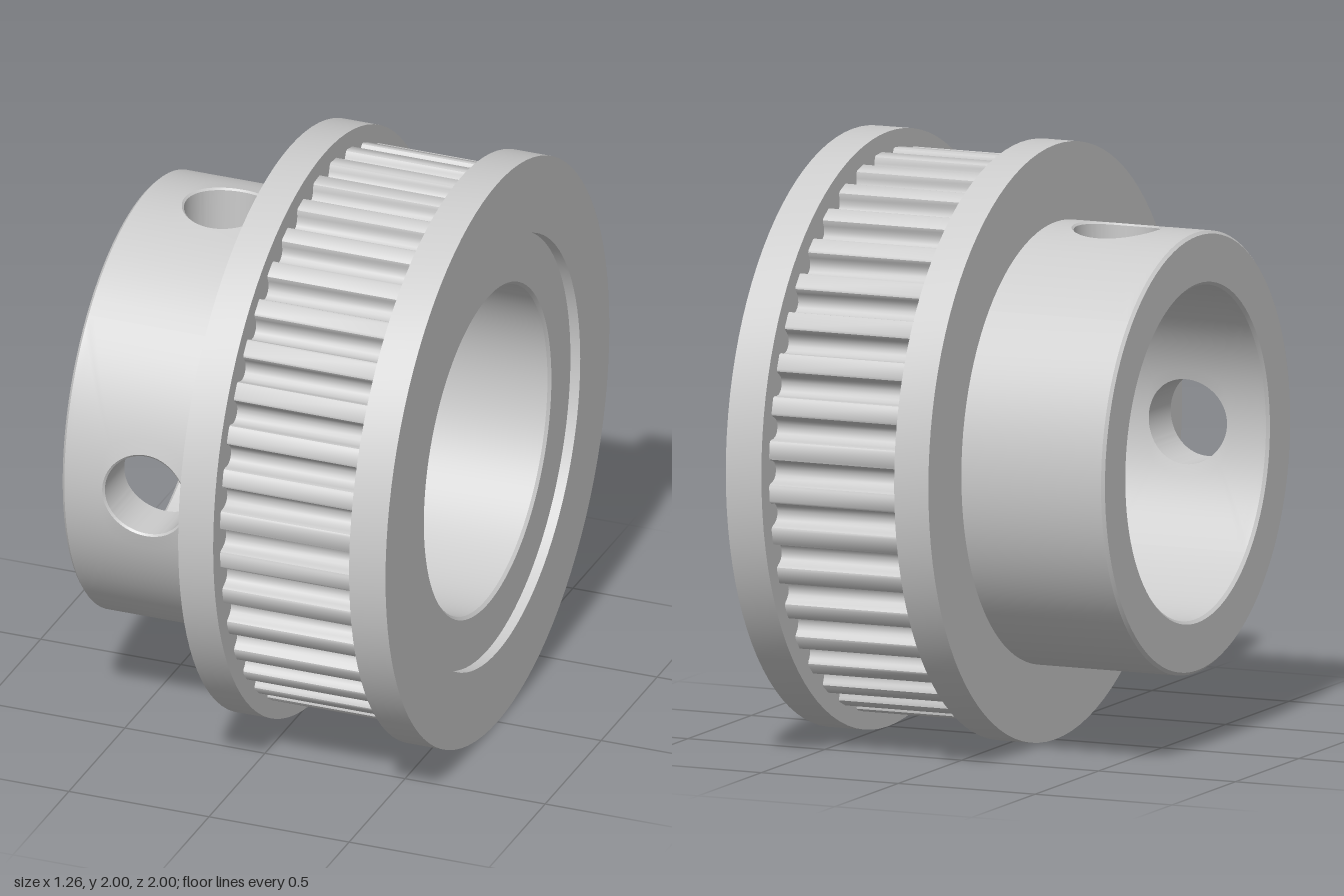
import * as THREE from 'three';
import { toCreasedNormals } from 'three/addons/utils/BufferGeometryUtils.js';

const material = new THREE.MeshStandardMaterial({ color: 0xcccccc });
const SEGMENTS = 96;
const BORE = 0.56, HUB = 0.74, FLANGE = 1;
const HUB_START = -0.62, HUB_END = -0.11; // cylindrical part of the hub along the axle

function part(name, geometry, crease = 0.5) {
  const mesh = new THREE.Mesh(toCreasedNormals(geometry, crease), material);
  mesh.name = name;
  return mesh;
}

// Turned surface from [radius, axial] points
function turned(name, points, start = 0, sweep = Math.PI * 2) {
  const profile = points.map(([r, y]) => new THREE.Vector2(r, y));
  const segments = Math.round(SEGMENTS * sweep / (Math.PI * 2));
  return part(name, new THREE.LatheGeometry(profile, segments, start, sweep));
}

// Flange ring with a square section
function flange(name, y0, y1) {
  return turned(name, [[HUB, y0], [FLANGE, y0], [FLANGE, y1], [HUB, y1], [HUB, y0]]);
}

// Quarter of the hub wall with a chamfered radial screw hole:
// rings run from the outer border, through the hole, to the inner border
function drilledQuarter(name, centreAngle) {
  const side = SEGMENTS / 4, holeY = -0.335, steps = 8;
  const border = [];
  for (let k = 0; k < 4; k++) {
    for (let i = 0; i < side; i++) {
      const s = -1 + 2 * i / side;
      border.push([[1, s], [-s, 1], [-1, -s], [s, -1]][k]);
    }
  }
  const rings = []; // [wall radius, hole radius, blend towards the border]
  for (let j = steps; j >= 0; j--) rings.push([HUB, 0.15, j / steps]);
  for (let j = 0; j <= steps; j++) rings.push([j ? BORE : HUB - 0.007, 0.143, 0]);
  rings.length = steps + 2;
  for (let j = 0; j <= steps; j++) rings.push([BORE, 0.143, j / steps]);

  const positions = [], index = [], n = border.length;
  for (const [radius, hole, t] of rings) {
    for (const [p, q] of border) {
      const a = Math.atan2(q, p);
      const holeAngle = Math.asin(hole * Math.cos(a) / radius);
      const angle = centreAngle + THREE.MathUtils.lerp(holeAngle, p * Math.PI / 4, t);
      const edgeY = THREE.MathUtils.lerp(HUB_START, HUB_END, (q + 1) / 2);
      const y = THREE.MathUtils.lerp(holeY + hole * Math.sin(a), edgeY, t);
      positions.push(radius * Math.sin(angle), y, radius * Math.cos(angle));
    }
  }
  for (let j = 0; j < rings.length - 1; j++) {
    for (let i = 0; i < n; i++) {
      const a = j * n + i, b = j * n + (i + 1) % n;
      index.push(a, b, b + n, a, b + n, a + n);
    }
  }
  const geometry = new THREE.BufferGeometry();
  geometry.setAttribute('position', new THREE.Float32BufferAttribute(positions, 3));
  geometry.setIndex(index);
  return part(name, geometry);
}

// Belt teeth: forty round-bottomed grooves around the rim
function toothedRim(y0, y1) {
  const teeth = 40, rim = 0.94;
  const half = [[0.05, 0], [0.043, 0.004], [0.039, 0.013], [0.037, 0.025], [0.03, 0.041], [0.017, 0.052]];
  const groove = [
    ...half.map(([t, d]) => [-t, d]),
    [0, 0.055],
    ...half.slice().reverse(),
  ];
  const outline = [];
  for (let k = 0; k < teeth; k++) {
    const centre = k * Math.PI * 2 / teeth;
    for (const [t, depth] of groove) {
      const a = centre + t / rim, r = rim - depth;
      outline.push(new THREE.Vector2(r * Math.cos(a), r * Math.sin(a)));
    }
  }
  const shape = new THREE.Shape(outline);
  shape.holes.push(new THREE.Path().absarc(0, 0, HUB, 0, Math.PI * 2, true));
  const geometry = new THREE.ExtrudeGeometry(shape, {
    depth: y1 - y0, bevelEnabled: false, curveSegments: 48,
  });
  geometry.rotateX(-Math.PI / 2).translate(0, y0, 0);
  return part('toothedRim', geometry, 0.6);
}

export function createModel() {
  // Built around the y axis, then laid along x
  const pulley = new THREE.Group();
  pulley.name = 'pulley';
  const quarter = Math.PI / 4;

  pulley.add(
    // Hub with two screw holes, one in front and one on top
    turned('hubEnd', [[BORE, HUB_START], [0.57, -0.63], [0.73, -0.63], [HUB, HUB_START]]),
    turned('hubWall', [[HUB, HUB_START], [HUB, HUB_END]], quarter, Math.PI),
    turned('hubBore', [[BORE, HUB_END], [BORE, HUB_START]], quarter, Math.PI),
    drilledQuarter('frontScrewHole', 0),
    drilledQuarter('topScrewHole', -Math.PI / 2),
    // Core and its recessed end face
    turned('coreBore', [[HUB, 0.595], [0.57, 0.595], [BORE, 0.585], [BORE, HUB_END]]),
    // Belt track between two flanges
    toothedRim(0.01, 0.505),
    flange('innerFlange', HUB_END, 0.015),
    flange('outerFlange', 0.5, 0.63),
  );
  pulley.rotation.z = -Math.PI / 2;
  pulley.position.y = 1;

  const model = new THREE.Group();
  model.name = 'timingPulley';
  model.add(pulley);
  return model;
}
